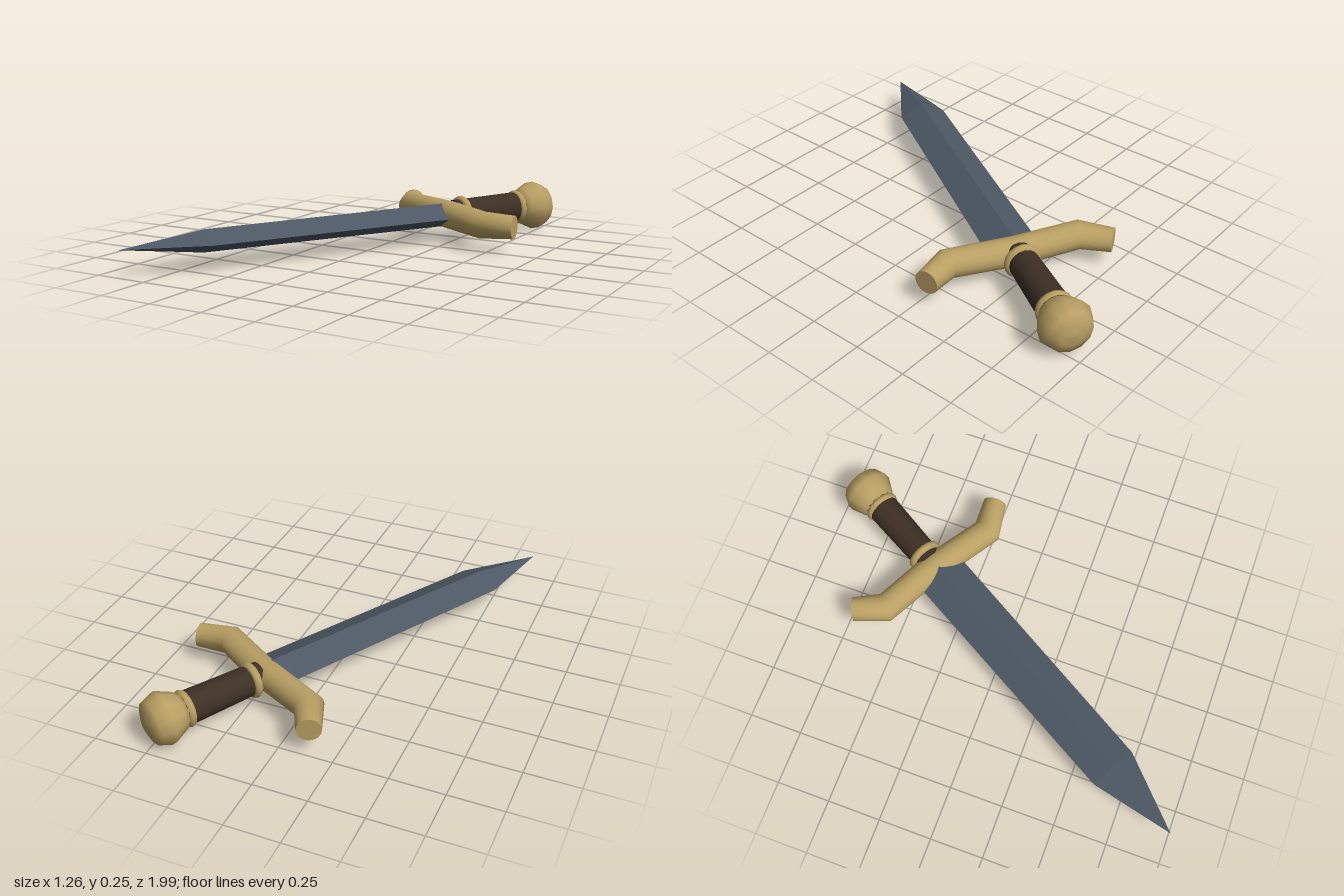
import * as THREE from 'three';

const steel = new THREE.MeshStandardMaterial({ color: 0x4d5864, flatShading: true });
steel.name = 'steel';
const brass = new THREE.MeshStandardMaterial({ color: 0xb99f63 });
brass.name = 'brass';
const leather = new THREE.MeshStandardMaterial({ color: 0x3d3025 });
leather.name = 'leather';

// Local frame: X across the blade, Y from tip to pommel, Z through the thickness.
function build(positions, index) {
  const g = new THREE.BufferGeometry();
  g.setAttribute('position', new THREE.Float32BufferAttribute(positions, 3));
  g.setIndex(index);
  g.computeVertexNormals();
  return g;
}

// Loft between rings of equal size, listed counter-clockwise seen against the path.
function loft(rings, capEnds) {
  const n = rings[0].length;
  const pos = rings.flat(2);
  const idx = [];
  for (let r = 0; r < rings.length - 1; r++) {
    for (let i = 0; i < n; i++) {
      const a = r * n + i, b = r * n + (i + 1) % n;
      idx.push(a, b, b + n, a, b + n, a + n);
    }
  }
  if (capEnds) {
    for (const [ring, flip] of [[rings[0], true], [rings[rings.length - 1], false]]) {
      const s = pos.length / 3;
      ring.forEach((p) => pos.push(...p));
      for (let i = 1; i < n - 1; i++) idx.push(s, s + (flip ? i + 1 : i), s + (flip ? i : i + 1));
    }
  }
  return build(pos, idx);
}

// Diamond cross-section blade, pointed at Y = 0
function bladeGeometry() {
  const ring = (y, w, t) => [[w, y, 0], [0, y, -t], [-w, y, 0], [0, y, t]];
  return loft([ring(0, 0.0005, 0.0005), ring(0.38, 0.115, 0.052), ring(1.67, 0.123, 0.057)], true);
}

// Round crossguard with mitred bends and flat ends
function guardGeometry() {
  const half = [[0.436, 1.742, 0.056], [0.311, 1.65, 0.065], [0, 1.667, 0.068]];
  const path = [
    ...half.map(([x, y, r]) => [-x, y, r]),
    ...half.slice(0, 2).reverse(),
  ];
  const v = path.map(([x, y]) => new THREE.Vector2(x, y));
  const rings = path.map(([x, y, r], k) => {
    const before = v[k].clone().sub(v[Math.max(k - 1, 0)]).normalize();
    const after = v[Math.min(k + 1, v.length - 1)].clone().sub(v[k]).normalize();
    const dir = before.clone().add(after).normalize();
    const miter = 1 / Math.max(dir.dot(after), dir.dot(before));
    const ring = [];
    for (let i = 0; i < 16; i++) {
      const a = (i / 16) * Math.PI * 2;
      const side = Math.cos(a) * r * miter;
      ring.push([x - dir.y * side, y + dir.x * side, Math.sin(a) * r]);
    }
    return ring;
  });
  return loft(rings, true);
}

// Rounded pommel
function pommelGeometry() {
  const profile = [[0, 2.08], [0.07, 2.085], [0.092, 2.118], [0.123, 2.186], [0.1, 2.245], [0.055, 2.264], [0, 2.27]];
  return new THREE.LatheGeometry(profile.map(([r, y]) => new THREE.Vector2(r, y)), 12);
}

export function createModel() {
  const model = new THREE.Group();
  model.name = 'sword';
  const sword = new THREE.Group();
  sword.name = 'lyingSword';
  model.add(sword);

  const add = (name, geometry, material, y = 0) => {
    const mesh = new THREE.Mesh(geometry, material);
    mesh.name = name;
    mesh.position.y = y;
    sword.add(mesh);
  };

  add('blade', bladeGeometry(), steel);
  add('crossguard', guardGeometry(), brass);
  add('grip', new THREE.CylinderGeometry(0.077, 0.068, 0.4, 16), leather, 1.9);
  add('pommel', pommelGeometry(), brass);

  // Collars at both ends of the grip
  for (const [name, y, radius] of [['lowerCollar', 1.745, 0.066], ['upperCollar', 2.08, 0.066]]) {
    add(name, new THREE.TorusGeometry(radius, 0.02, 8, 16).rotateX(Math.PI / 2), brass, y);
  }

  // Lay the sword flat, turned 30 degrees, with the tip towards the front
  const c = Math.cos(Math.PI / 6), s = 0.5;
  const lie = new THREE.Matrix4().makeBasis(
    new THREE.Vector3(c, 0, s),
    new THREE.Vector3(s, 0, -c),
    new THREE.Vector3(0, 1, 0),
  );
  sword.quaternion.setFromRotationMatrix(lie);
  sword.position.set(-0.628, 0.123, 0.998);
  return model;
}
